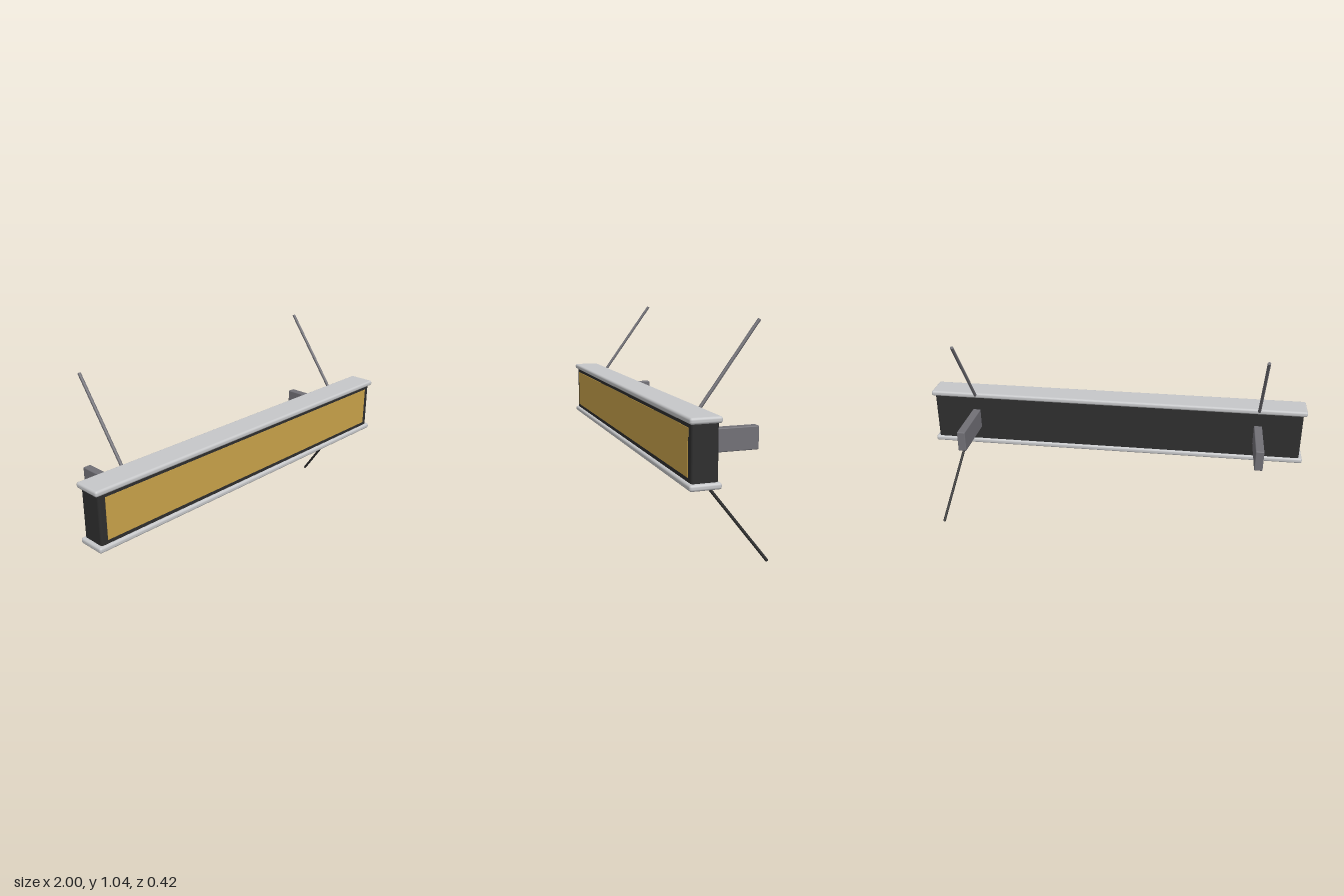
import * as THREE from 'three';
import { RoundedBoxGeometry } from 'three/addons/geometries/RoundedBoxGeometry.js';

const material = (name, color) => {
  const m = new THREE.MeshStandardMaterial({ color });
  m.name = name;
  return m;
};

export function createModel() {
  const group = new THREE.Group();
  const silver = material('silver', 0xc6c7c9);
  const black = material('black', 0x2e2e2e);
  const gold = material('gold', 0xc9a24a);
  const steel = material('steel grey', 0x717076);

  const add = (name, geometry, mat, x, y, z) => {
    const mesh = new THREE.Mesh(geometry, mat);
    mesh.name = name;
    mesh.position.set(x, y, z);
    group.add(mesh);
    return mesh;
  };
  const box = (name, w, h, d, r, mat, x, y, z) =>
    add(name, new RoundedBoxGeometry(w, h, d, 3, r), mat, x, y, z);
  // Thin round bar between two points
  const rod = (name, from, to, radius, mat) => {
    const a = new THREE.Vector3(...from), b = new THREE.Vector3(...to);
    const dir = b.clone().sub(a);
    const mid = a.add(b).multiplyScalar(0.5);
    const mesh = add(name, new THREE.CylinderGeometry(radius, radius, dir.length(), 12), mat, mid.x, mid.y, mid.z);
    mesh.quaternion.setFromUnitVectors(new THREE.Vector3(0, 1, 0), dir.normalize());
  };

  // Sign case and its front panel
  box('signCase', 1.964, 0.262, 0.12, 0.012, black, 0, 0.523, 0.137);
  add('frontPanel', new THREE.BoxGeometry(1.894, 0.206, 0.006), gold, 0, 0.523, 0.196);

  // Trim rails along the top and bottom
  box('topRail', 2, 0.028, 0.142, 0.011, silver, 0, 0.658, 0.139);
  box('bottomRail', 2, 0.028, 0.142, 0.011, silver, 0, 0.387, 0.139);

  // Wall brackets and stay rods, mirrored
  for (const [side, s] of [['left', 1], ['right', -1]]) {
    box(side + 'Bracket', 0.042, 0.107, 0.284, 0.005, steel, s * 0.755, 0.522, -0.062);
    rod(side + 'StayRod', [s * 0.755, 0.658, 0.075], [s * 0.755, 1.036, -0.202], 0.008, steel);
  }

  // Power cable running down to the wall
  rod('powerCable', [0.832, 0.385, 0.098], [0.908, 0.006, -0.188], 0.007, black);

  return group;
}
